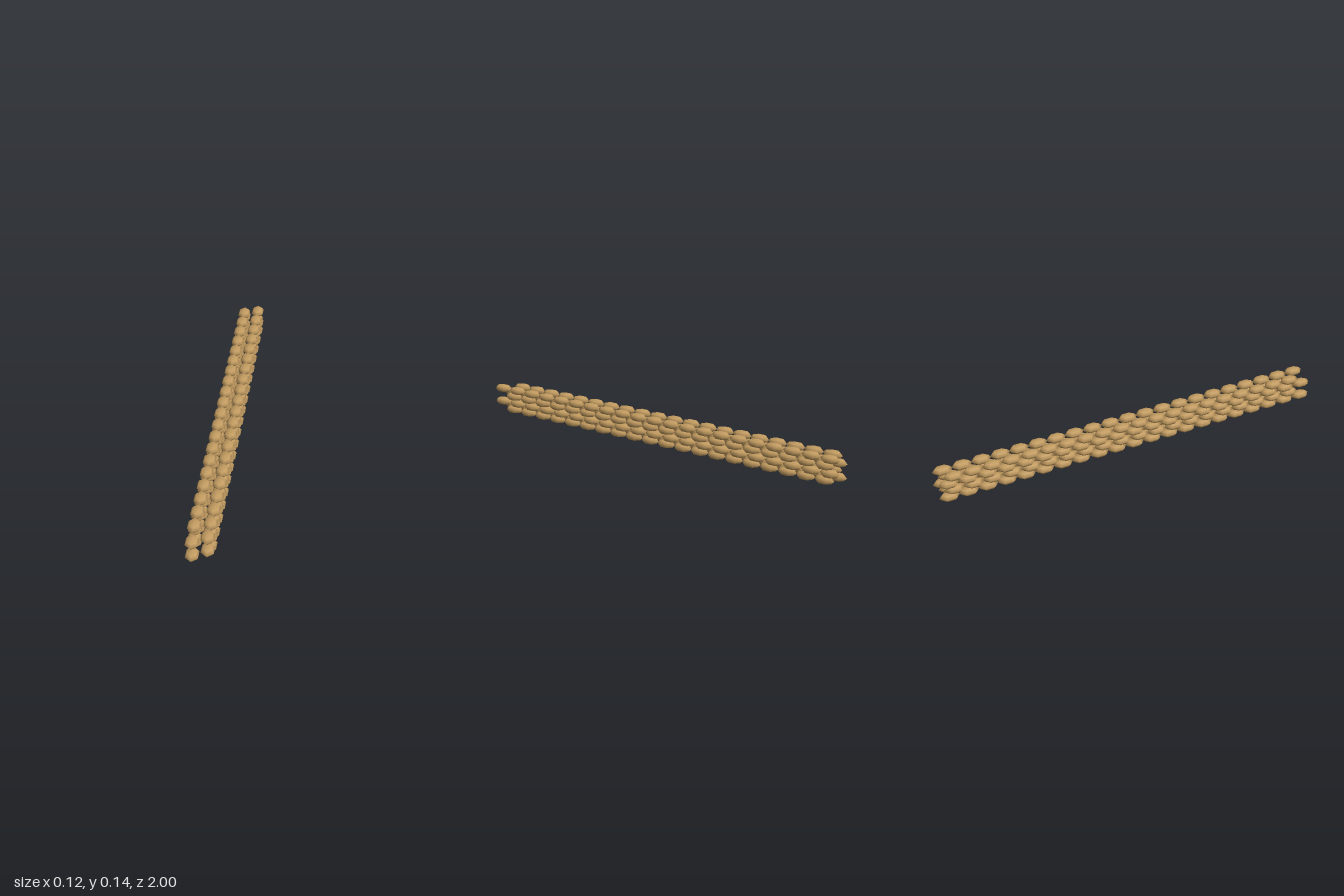
import * as THREE from 'three';

export function createModel() {
  const wall = new THREE.Group();
  wall.name = 'sandbagWall';

  const burlap = new THREE.MeshStandardMaterial({ color: 0xc29b60 });
  burlap.name = 'burlap';

  // One low-sided bag, its long axis along z
  const bag = new THREE.SphereGeometry(1, 6, 4);
  bag.rotateY(Math.PI / 2);
  bag.scale(0.0327, 0.0195, 0.05);

  const pitch = 0.095;
  const layerHeight = 0.0333;
  const recess = 0.07;

  // Two columns of four courses; alternate courses are staggered in a checkerboard
  for (const side of [-1, 1]) {
    for (let layer = 0; layer < 4; layer++) {
      const recessed = (layer % 2 === 1) === (side < 0);
      const course = new THREE.Group();
      course.name = `${side > 0 ? 'left' : 'right'}Course${layer + 1}`;
      course.position.set(side * 0.034, 0.0195 + layer * layerHeight, 0);
      const count = recessed ? 20 : 21;
      const front = recessed ? 0.95 - recess : 0.95;
      for (let i = 0; i < count; i++) {
        const mesh = new THREE.Mesh(bag, burlap);
        mesh.name = 'sandbag';
        mesh.position.z = front - i * pitch;
        course.add(mesh);
      }
      wall.add(course);
    }
  }
  return wall;
}
